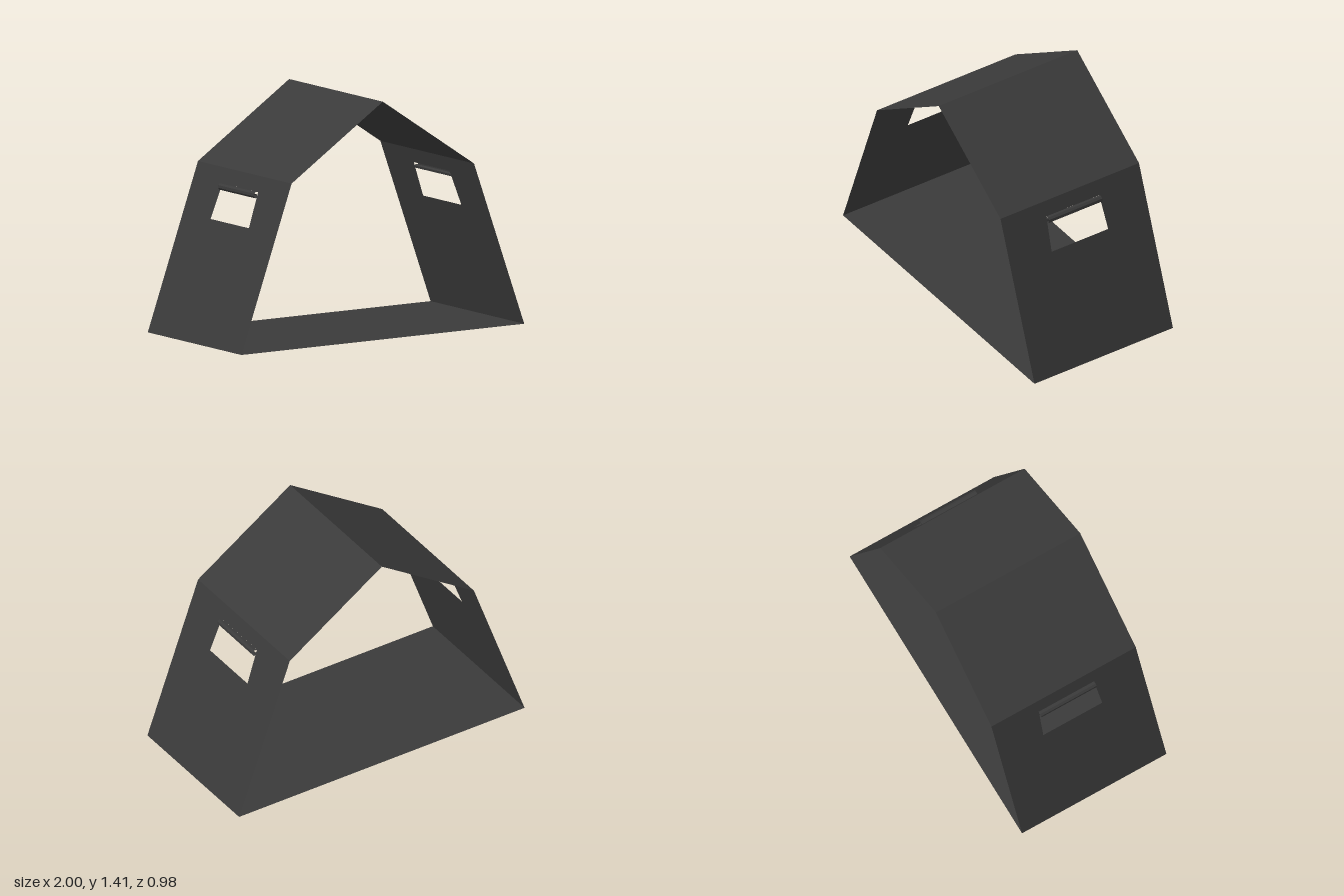
import * as THREE from 'three';

const HALF_DEPTH = 0.49;
const EAVE = [0.645, 0.985];
const RIDGE = [0, 1.412];

const fabric = new THREE.MeshStandardMaterial({ color: 0x3a3a3a, side: THREE.DoubleSide, flatShading: true });
fabric.name = 'charcoal fabric';

// Sheet that follows a cross-section in x/y and runs along z
function ribbon(name, points, halfDepth) {
  const geometry = new THREE.PlaneGeometry(1, 1, points.length - 1, 1);
  const position = geometry.attributes.position;
  for (let i = 0; i < position.count; i++) {
    const [x, y] = points[i % points.length];
    position.setXYZ(i, x, y, i < points.length ? -halfDepth : halfDepth);
  }
  geometry.computeVertexNormals();
  const mesh = new THREE.Mesh(geometry, fabric);
  mesh.name = name;
  return mesh;
}

// Leaning side wall with a trapezoid window opening
function sideWall(side) {
  const shape = new THREE.Shape([
    [-HALF_DEPTH, 0], [HALF_DEPTH, 0], [HALF_DEPTH, EAVE[1]], [-HALF_DEPTH, EAVE[1]],
  ].map(([u, v]) => new THREE.Vector2(u, v)));
  shape.holes.push(new THREE.Path([
    [-0.2, 0.69], [-0.187, 0.897], [0.187, 0.897], [0.2, 0.69],
  ].map(([u, v]) => new THREE.Vector2(u, v))));

  const geometry = new THREE.ShapeGeometry(shape);
  const position = geometry.attributes.position;
  for (let i = 0; i < position.count; i++) {
    const u = position.getX(i);
    const v = position.getY(i);
    const x = THREE.MathUtils.lerp(1, EAVE[0], v / EAVE[1]);
    position.setXYZ(i, side * x, v, -side * u);
  }
  geometry.computeVertexNormals();
  const mesh = new THREE.Mesh(geometry, fabric);
  mesh.name = 'sideWall';
  return mesh;
}

export function createModel() {
  const group = new THREE.Group();
  group.name = 'tentShell';

  group.add(ribbon('floor', [[-1, 0], [1, 0]], HALF_DEPTH));
  group.add(ribbon('roof', [[-EAVE[0], EAVE[1]], RIDGE, EAVE], HALF_DEPTH));

  // Window flap rolled up above each opening
  const roll = [
    [0.677, 0.897], [0.695, 0.899], [0.707, 0.889], [0.708, 0.873],
    [0.698, 0.861], [0.686, 0.864], [0.683, 0.877], [0.692, 0.886],
  ];
  for (const side of [1, -1]) {
    const half = new THREE.Group();
    half.name = side > 0 ? 'leftSide' : 'rightSide';
    half.add(sideWall(side));
    const points = roll.map(([x, y]) => [side * x, y]);
    half.add(ribbon('rolledWindowFlap', side > 0 ? points : points.reverse(), 0.188));
    group.add(half);
  }
  return group;
}
